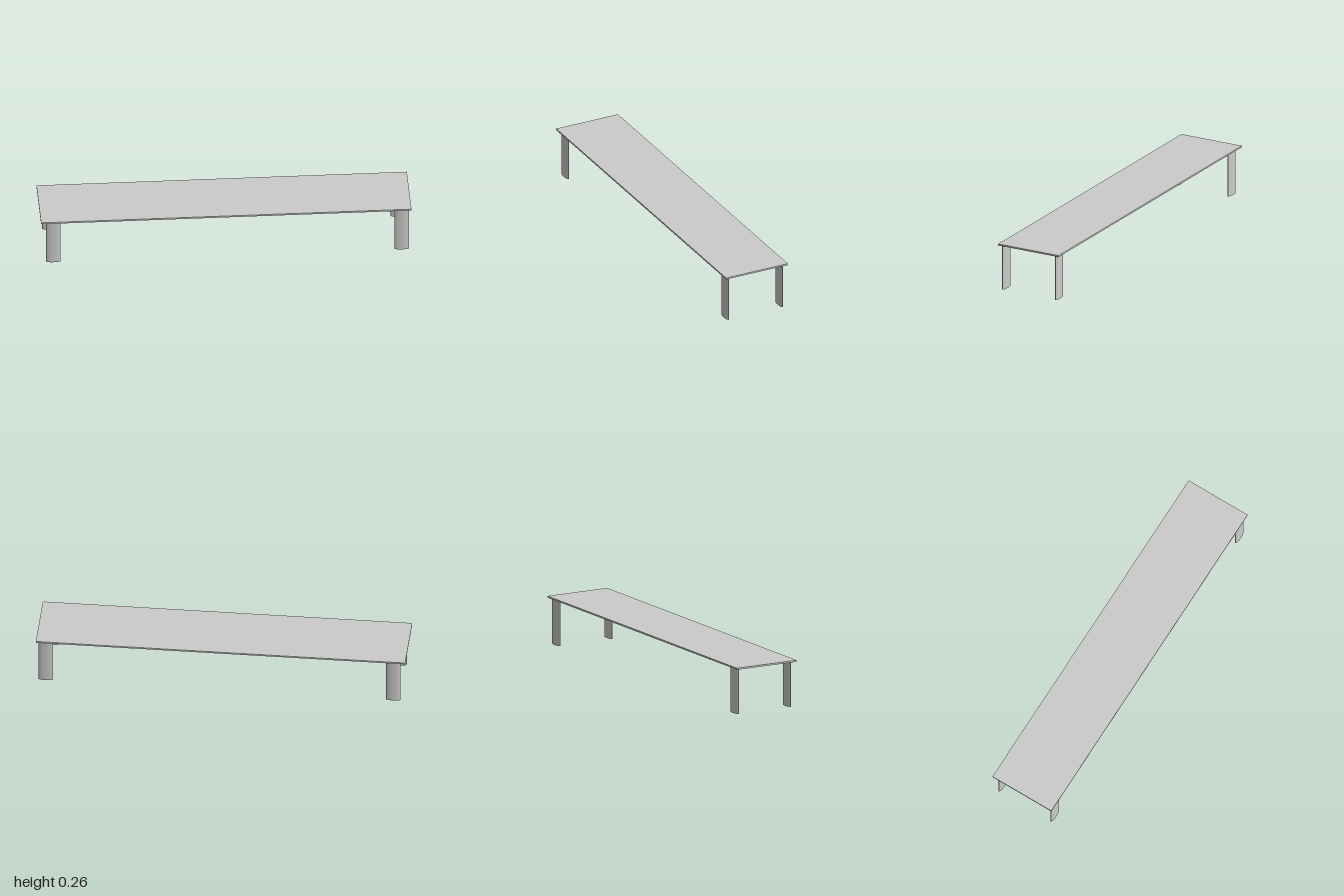
import * as THREE from 'three';

export function createModel() {
  const model = new THREE.Group();
  const material = new THREE.MeshStandardMaterial({ color: 0xcccccc });
  const height = 0.262, thickness = 0.009;
  const legHeight = height - thickness;

  function add(name, geometry, x, y, z) {
    const mesh = new THREE.Mesh(geometry, material);
    mesh.name = name;
    mesh.position.set(x, y, z);
    model.add(mesh);
    return mesh;
  }

  // Long, thin top slab
  add('tableTop', new THREE.BoxGeometry(2, thickness, 0.374), 0, height - thickness / 2, 0);

  // Four flattened, elliptical legs
  const legGeometry = new THREE.CylinderGeometry(1, 1, legHeight, 48);
  legGeometry.scale(0.04, 1, 0.0105);
  for (const [side, x] of [['Right', -0.933], ['Left', 0.949]]) {
    for (const [end, z] of [['front', 0.166], ['back', -0.162]]) {
      add(`${end}${side}Leg`, legGeometry, x, legHeight / 2, z);
    }
  }

  return model;
}
